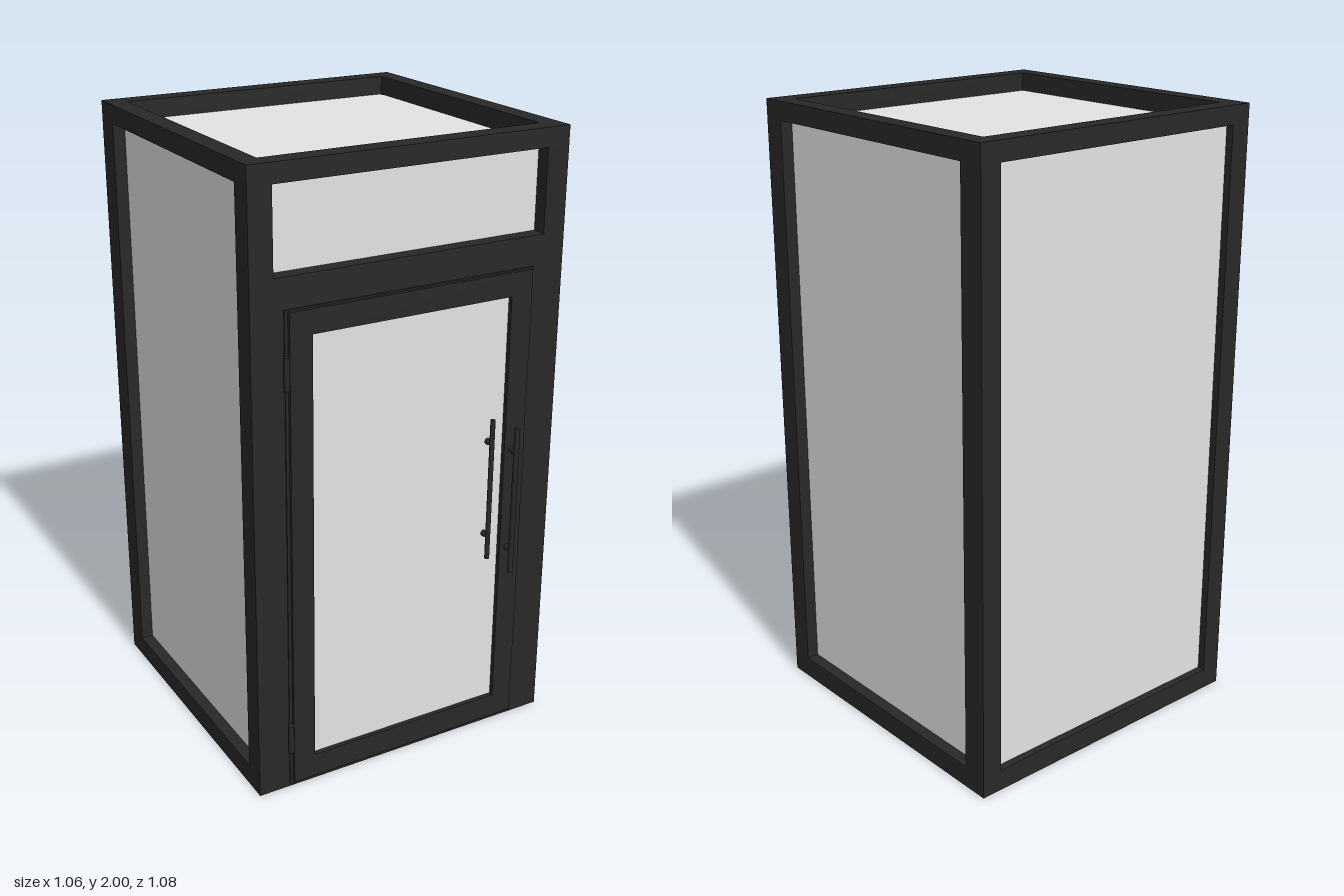
import * as THREE from 'three';

const frameMat = new THREE.MeshStandardMaterial({ color: 0x282828 });
frameMat.name = 'charcoal metal';
const glassMat = new THREE.MeshStandardMaterial({ color: 0xe3e3e3 });
glassMat.name = 'pale glass';

// Outer limits of the cabin
const X = 0.53, H = 2, FRONT = 0.49, BACK = -0.54;

function add(parent, name, geometry, material) {
  const mesh = new THREE.Mesh(geometry, material);
  mesh.name = name;
  parent.add(mesh);
  return mesh;
}

// Box given by its limits on each axis
function box(parent, name, [x0, x1], [y0, y1], [z0, z1], material = frameMat) {
  const mesh = add(parent, name, new THREE.BoxGeometry(x1 - x0, y1 - y0, z1 - z0), material);
  mesh.position.set((x0 + x1) / 2, (y0 + y1) / 2, (z0 + z1) / 2);
  return mesh;
}

function rectangle(Type, [x0, x1], [y0, y1]) {
  const pts = [[x0, y0], [x1, y0], [x1, y1], [x0, y1]];
  return new Type(pts.map(([x, y]) => new THREE.Vector2(x, y)));
}

// Upright plate with one rectangular opening
function ring(parent, name, outer, inner, [z0, z1]) {
  const shape = rectangle(THREE.Shape, ...outer);
  shape.holes.push(rectangle(THREE.Path, ...inner));
  const geometry = new THREE.ExtrudeGeometry(shape, { depth: z1 - z0, bevelEnabled: false });
  geometry.translate(0, 0, z0);
  return add(parent, name, geometry, frameMat);
}

// Vertical pull bar on two short standoffs
function pullHandle(parent, name, x, y0, y1, z, radius) {
  const group = new THREE.Group();
  group.name = name;
  const bar = add(group, 'handleBar', new THREE.CylinderGeometry(radius, radius, y1 - y0, 12), frameMat);
  bar.position.set(x, (y0 + y1) / 2, z);
  for (const y of [y0 + 0.08, y1 - 0.08]) {
    const post = add(group, 'handleStandoff', new THREE.CylinderGeometry(radius, radius * 1.3, z - 0.49, 12), frameMat);
    post.rotation.x = Math.PI / 2;
    post.position.set(x, y, (z + 0.49) / 2);
  }
  parent.add(group);
}

export function createModel() {
  const cabin = new THREE.Group();
  cabin.name = 'glassCabin';

  // Corner posts, side beams and side panels, mirrored left and right
  for (const s of [-1, 1]) {
    const span = (a, b) => (s > 0 ? [a, b] : [-b, -a]);
    box(cabin, 'frontPost', span(0.455, X), [0.05, 1.94], [0.415, FRONT]);
    box(cabin, 'backPost', span(0.46, X), [0.07, 1.94], [BACK, -0.455]);
    box(cabin, 'sideTopBeam', span(0.467, X), [1.94, H], [-0.475, 0.425]);
    box(cabin, 'sideBottomBeam', span(0.467, X), [0, 0.07], [-0.475, 0.425]);
    box(cabin, 'sidePanel', span(0.475, 0.49), [0.06, 1.95], [-0.465, 0.425], glassMat);
    // Wide stiles beside the door
    box(cabin, 'doorJamb', span(0.4, 0.455), [0.05, 1.56], [0.43, FRONT]);
  }

  // Front and back beams
  box(cabin, 'frontTopBeam', [-X, X], [1.94, H], [0.425, FRONT]);
  box(cabin, 'transomBar', [-0.455, 0.455], [1.56, 1.68], [0.415, FRONT]);
  box(cabin, 'frontSill', [-X, X], [0, 0.05], [0.425, FRONT]);
  box(cabin, 'backTopBeam', [-X, X], [1.94, H], [BACK, -0.475]);
  box(cabin, 'backBottomBeam', [-X, X], [0, 0.07], [BACK, -0.475]);

  // Remaining panels, set deep in the frame
  box(cabin, 'transomPanel', [-0.46, 0.46], [1.67, 1.95], [0.428, 0.443], glassMat);
  box(cabin, 'backPanel', [-0.47, 0.47], [0.06, 1.95], [-0.515, -0.5], glassMat);
  box(cabin, 'roofPanel', [-0.475, 0.475], [1.925, 1.94], [-0.485, 0.43], glassMat);
  box(cabin, 'floorPanel', [-0.475, 0.475], [0.02, 0.035], [-0.485, 0.435], glassMat);

  // Door leaf, with a narrow raised stop around it
  const door = new THREE.Group();
  door.name = 'door';
  ring(door, 'doorStop', [[-0.425, 0.42], [0.01, 1.585]], [[-0.41, 0.41], [0.03, 1.57]], [0.45, 0.494]);
  ring(door, 'doorFrame', [[-0.415, 0.412], [0.02, 1.58]], [[-0.342, 0.338], [0.1, 1.505]], [0.45, 0.505]);
  box(door, 'doorPanel', [-0.35, 0.345], [0.09, 1.52], [0.475, 0.49], glassMat);
  cabin.add(door);

  // Hinges
  for (const y of [0.185, 1.4]) {
    const hinge = add(door, 'hinge', new THREE.CylinderGeometry(0.009, 0.009, 0.1, 12), frameMat);
    hinge.position.set(-0.424, y, 0.502);
  }

  // Pull handles
  pullHandle(door, 'innerHandle', 0.282, 0.64, 1.12, 0.515, 0.008);
  pullHandle(door, 'outerHandle', 0.365, 0.575, 1.08, 0.531, 0.009);

  return cabin;
}
